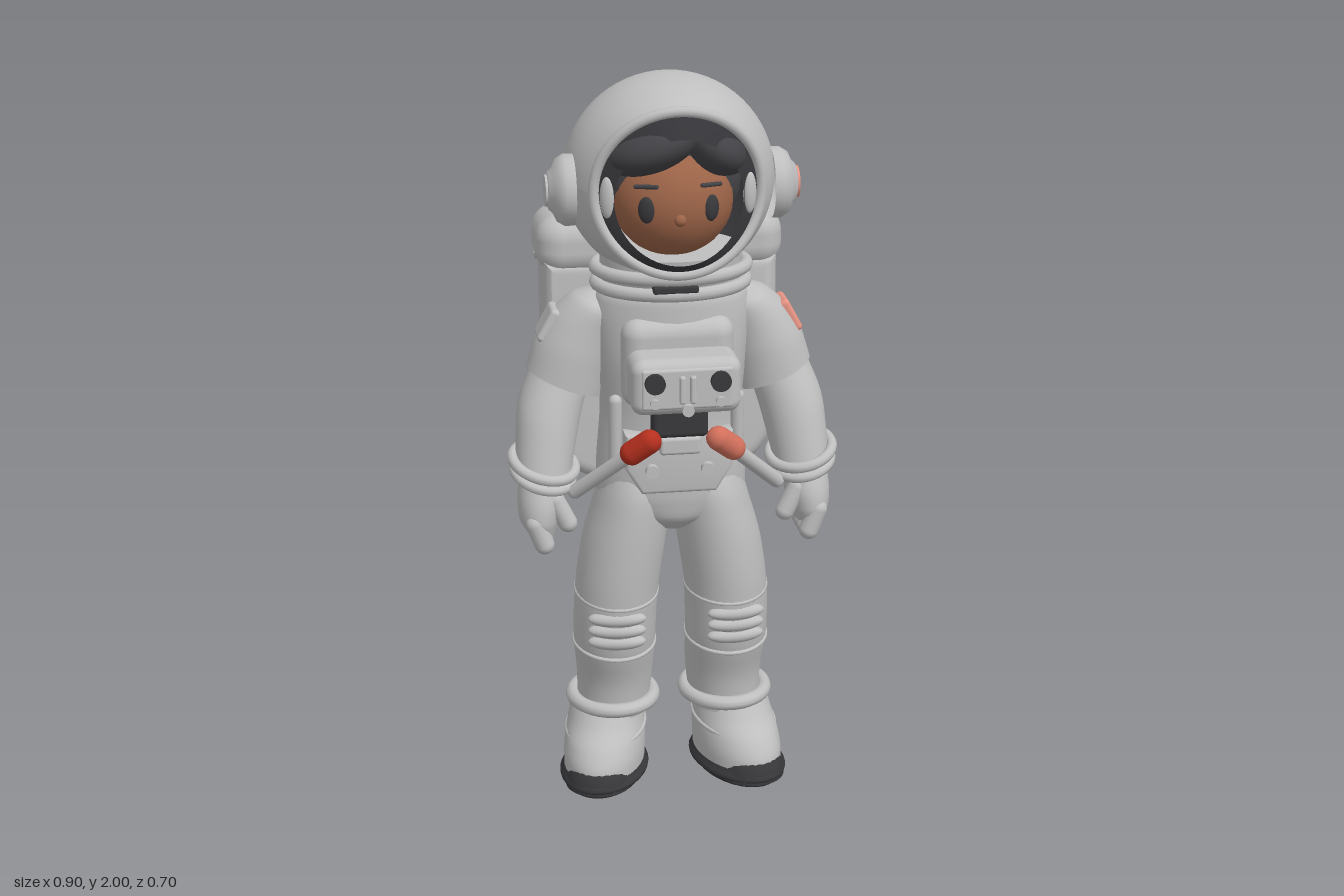
import * as THREE from 'three';
import { toCreasedNormals } from 'three/addons/utils/BufferGeometryUtils.js';
import { RoundedBoxGeometry } from 'three/addons/geometries/RoundedBoxGeometry.js';

const paint = (name, color, side = THREE.FrontSide) => {
  const m = new THREE.MeshStandardMaterial({ color, side });
  m.name = name;
  return m;
};
const V = (x, y, z) => new THREE.Vector3(x, y, z);

export function createModel() {
  const suit = paint('suit grey', 0xbfbfbf, THREE.DoubleSide);
  const dark = paint('rubber dark', 0x39393c);
  const hair = paint('hair dark', 0x434347);
  const lining = paint('visor dark', 0x38383c, THREE.DoubleSide);
  const skin = paint('skin brown', 0x9c6448);
  const red = paint('grip red', 0xb5301e);
  const coral = paint('grip coral', 0xd2705c);
  const salmon = paint('marking salmon', 0xe69484);
  const model = new THREE.Group();
  model.name = 'astronaut';

  const add = (name, geo, mat, p = [0, 0, 0], r = [0, 0, 0], parent = model) => {
    const m = new THREE.Mesh(geo, mat);
    m.name = name;
    m.position.set(...p);
    m.rotation.set(...r);
    parent.add(m);
    return m;
  };
  const ball = (name, mat, p, s, r, parent) =>
    add(name, new THREE.SphereGeometry(1, 28, 20).scale(...s), mat, p, r, parent);
  const box = (name, mat, p, s, radius, r, parent) =>
    add(name, new RoundedBoxGeometry(...s, 4, radius), mat, p, r, parent);
  // horizontal elliptical band
  const band = (name, mat, p, rx, rz, tube, r, parent) =>
    add(name, new THREE.TorusGeometry(1, tube / rx, 10, 40).rotateX(Math.PI / 2).scale(rx, rx, rz), mat, p, r, parent);
  // round-ended rod between two points
  const rod = (name, mat, a, b, radius, parent) => {
    const d = b.clone().sub(a);
    const m = add(name, new THREE.CapsuleGeometry(radius, d.length(), 6, 14), mat, a.clone().add(b).multiplyScalar(0.5).toArray(), undefined, parent);
    m.quaternion.setFromUnitVectors(V(0, 1, 0), d.normalize());
    return m;
  };
  // smooth body through rings [x, y, z, rx, rz], listed upwards; tilt slopes the rings along x
  const loft = (name, mat, rings, tilt = 0, parent = model) => {
    const centre = new THREE.CatmullRomCurve3(rings.map(r => V(r[0], r[1], r[2])));
    const radii = new THREE.CatmullRomCurve3(rings.map(r => V(r[3], r[4], 0)));
    const seg = 32, steps = (rings.length - 1) * 5, rows = [], pos = [], idx = [];
    for (let i = 0; i <= steps; i++) {
      rows.push([centre.getPoint(i / steps), radii.getPoint(i / steps)]);
    }
    const first = rows[0], last = rows[steps], none = V(0, 0, 0);
    const all = [[first[0], none], first, ...rows, last, [last[0], none]];
    for (const [c, r] of all) {
      for (let j = 0; j < seg; j++) {
        const a = j / seg * Math.PI * 2, dx = r.x * Math.cos(a);
        pos.push(c.x + dx, c.y + tilt * dx, c.z + r.y * Math.sin(a));
      }
    }
    for (let i = 0; i < all.length - 1; i++) {
      if (i === 1 || i === all.length - 3) continue;
      for (let j = 0; j < seg; j++) {
        const a = i * seg + j, b = i * seg + (j + 1) % seg;
        idx.push(a, a + seg, b, b, a + seg, b + seg);
      }
    }
    const g = new THREE.BufferGeometry();
    g.setAttribute('position', new THREE.Float32BufferAttribute(pos, 3));
    g.setIndex(idx);
    g.computeVertexNormals();
    return add(name, g, mat, undefined, undefined, parent);
  };

  // Helmet: open sphere whose face edge swings forward at top and bottom
  const open = 0.9, R = [0.28, 0.275, 0.262], lean = 0.048;
  const edge = Math.cos(open), wide = Math.sin(open);
  const shell = new THREE.SphereGeometry(1, 64, 40, 0, Math.PI * 2, open, Math.PI - open).rotateX(Math.PI / 2);
  const sp = shell.attributes.position;
  for (let i = 0; i < sp.count; i++) {
    const x = sp.getX(i), y = sp.getY(i), z = sp.getZ(i);
    const push = lean * (y * y / (x * x + y * y + 1e-6)) * Math.max(0, z) / edge;
    sp.setXYZ(i, x * R[0], y * R[1], z * R[2] + push);
  }
  shell.computeVertexNormals();
  const head = [0, 1.725, 0];
  add('helmetShell', shell, suit, head);
  add('helmetLining', shell.clone().scale(0.96, 0.96, 0.96), lining, head);
  const rimPoint = a => V(R[0] * wide * Math.cos(a), R[1] * wide * Math.sin(a), R[2] * edge + lean * Math.sin(a) ** 2);
  const rim = Array.from({ length: 32 }, (_, i) => rimPoint(i / 32 * Math.PI * 2));
  add('helmetRim', new THREE.TubeGeometry(new THREE.CatmullRomCurve3(rim, true), 80, 0.014, 10, true), suit, head);

  // Dark bulging visor surround, open in front of the face
  const visor = new THREE.RingGeometry(0.77, 1, 64, 6);
  const vp = visor.attributes.position;
  for (let i = 0; i < vp.count; i++) {
    const u = Math.hypot(vp.getX(i), vp.getY(i));
    const p = rimPoint(Math.atan2(vp.getY(i), vp.getX(i)));
    vp.setXYZ(i, p.x * u, p.y * u - 0.08 * (1 - u), p.z - 0.004 + 0.07 * (1 - u * u));
  }
  visor.computeVertexNormals();
  add('visorSurround', visor, lining, head);

  // Head inside the helmet
  ball('face', skin, [0, 1.68, 0.07], [0.16, 0.15, 0.14]);
  ball('nose', skin, [0, 1.655, 0.207], [0.016, 0.016, 0.014]);
  ball('hairBack', hair, [0, 1.72, 0.02], [0.19, 0.17, 0.14]);
  ball('fringeRight', hair, [-0.065, 1.84, 0.105], [0.14, 0.075, 0.14], [0, 0, 0.32]);
  ball('fringeLeft', hair, [0.11, 1.825, 0.1], [0.09, 0.07, 0.13], [0, 0, -0.6]);

  // Helmet side pods, face details and limbs, mirrored
  for (const s of [1, -1]) {
    const side = new THREE.Group();
    side.name = s > 0 ? 'leftSide' : 'rightSide';
    model.add(side);
    const mark = s > 0 ? salmon : suit;

    ball('eye', dark, [s * 0.085, 1.68, 0.184], [0.023, 0.035, 0.012], [0, s * 0.55, 0], side);
    rod('eyebrow', hair, V(s * 0.06, 1.742, 0.192), V(s * 0.11, 1.738, 0.164), 0.006, side);
    ball('headsetPad', suit, [s * 0.186, 1.715, 0.176], [0.02, 0.055, 0.014], [0, s * 0.6, 0], side);

    const podProfile = [[0, 0.07], [0.04, 0.07], [0.05, 0.066], [0.06, 0.055], [0.082, 0.045], [0.094, 0.025], [0.094, 0]];
    const pod = new THREE.LatheGeometry(podProfile.map(p => new THREE.Vector2(...p)).reverse(), 36);
    add('helmetPod', pod, suit, [s * 0.26, 1.71, 0.06], [0, 0, -s * Math.PI / 2], side);
    add('podDisc', new THREE.CylinderGeometry(0.042, 0.042, 0.008, 28), mark, [s * 0.331, 1.71, 0.06], [0, 0, -s * Math.PI / 2], side);

    // Arm
    loft('sleeve', suit, [[s * 0.285, 1.172, 0.005, 0.102, 0.105], [s * 0.264, 1.25, 0, 0.099, 0.11], [s * 0.232, 1.33, 0, 0.085, 0.105],
      [s * 0.2, 1.388, 0.01, 0.062, 0.088], [s * 0.18, 1.418, 0.01, 0.03, 0.04]], s * 0.4, side);
    box('armPatch', mark, [s * 0.327, 1.333, 0.002], [0.03, 0.098, 0.096], 0.012, [0, 0, s * 0.5], side);
    loft('forearm', suit, [[s * 0.355, 0.93, 0.09, 0.073, 0.075], [s * 0.347, 1.0, 0.065, 0.078, 0.085],
      [s * 0.33, 1.1, 0.03, 0.084, 0.095], [s * 0.295, 1.2, 0, 0.08, 0.09]], s * 0.25, side);
    band('gloveCuff', suit, [s * 0.352, 0.965, 0.082], 0.086, 0.088, 0.015, [0.25, 0, s * 0.22], side);
    band('gloveCuffLower', suit, [s * 0.355, 0.935, 0.09], 0.079, 0.082, 0.014, [0.25, 0, s * 0.22], side);
    loft('palm', suit, [[s * 0.366, 0.785, 0.113, 0.04, 0.064], [s * 0.37, 0.82, 0.113, 0.054, 0.077],
      [s * 0.365, 0.87, 0.106, 0.062, 0.079], [s * 0.357, 0.94, 0.09, 0.062, 0.068]], 0, side);
    for (let i = 0; i < 4; i++) {
      const z = 0.056 + i * 0.037;
      rod('finger', suit, V(s * 0.385, 0.82, z), V(s * 0.362, 0.76, z), 0.027, side);
    }
    rod('thumb', suit, V(s * 0.33, 0.88, 0.15), V(s * 0.297, 0.815, 0.155), 0.026, side);

    // Leg
    loft('leg', suit, [[s * 0.16, 0.19, 0, 0.1, 0.11], [s * 0.155, 0.3, 0.002, 0.106, 0.122], [s * 0.158, 0.42, 0.03, 0.114, 0.132],
      [s * 0.152, 0.58, 0.045, 0.115, 0.135], [s * 0.132, 0.72, 0.045, 0.115, 0.14], [s * 0.106, 0.86, 0.042, 0.102, 0.138],
      [s * 0.095, 0.97, 0.04, 0.08, 0.1]], 0, side);
    band('kneeSeamLower', suit, [s * 0.158, 0.41, 0.028], 0.112, 0.13, 0.006, [0.1, 0, 0], side);
    band('kneeSeamUpper', suit, [s * 0.153, 0.57, 0.044], 0.112, 0.132, 0.006, [0.12, 0, 0], side);
    for (let i = 0; i < 3; i++) {
      ball('kneeRib', suit, [s * 0.165, 0.45 + i * 0.036, 0.145 + i * 0.004], [0.08, 0.024, 0.03], [0, s * 0.1, 0], side);
    }
    band('ankleCuff', suit, [s * 0.16, 0.228, 0.003], 0.113, 0.123, 0.02, [0, 0, 0], side);

    // Boot, toes turned out
    const boot = new THREE.Group();
    boot.name = 'boot';
    boot.position.x = s * 0.177;
    boot.rotation.y = s * 0.3;
    side.add(boot);
    loft('bootSole', dark, [[0, 0, 0.047, 0.104, 0.166], [0, 0.015, 0.047, 0.113, 0.174], [0, 0.048, 0.047, 0.113, 0.174]], 0, boot);
    loft('bootUpper', suit, [[0, 0.04, 0.045, 0.111, 0.171], [0, 0.08, 0.042, 0.113, 0.168], [0, 0.125, 0.03, 0.112, 0.155],
      [0, 0.17, 0.012, 0.107, 0.132], [0, 0.22, 0, 0.1, 0.112]], 0, boot);
    add('toeCap', new THREE.SphereGeometry(1, 28, 12, 0, Math.PI * 2, 0, Math.PI / 2).scale(0.092, 0.1, 0.088), dark, [0, 0.012, 0.14], undefined, boot);
    band('bootSeam', suit, [0, 0.145, 0.022], 0.108, 0.142, 0.007, [0.12, 0, 0], boot);

    // Control grip, hose and harness
    rod('grip', s > 0 ? coral : red, V(s * 0.092, 1.078, 0.272), V(s * 0.135, 1.043, 0.255), 0.033, side);
    rod('hose', suit, V(s * 0.13, 1.045, 0.255), V(s * 0.275, 0.9, 0.145), 0.02, side);
    rod('harnessStrap', suit, V(s * 0.165, 1.15, 0.145), V(s * 0.165, 0.98, 0.135), 0.018, side);
    add('beltButton', new THREE.CylinderGeometry(0.018, 0.018, 0.02, 20), suit, [s * 0.075, 0.97, 0.21], [Math.PI / 2, 0, 0], side);
    add('panelKnob', new THREE.CylinderGeometry(0.027, 0.027, 0.018, 20), dark, [s * 0.086, 1.26, 0.34], [Math.PI / 2, 0, 0], side);
    box('panelSwitch', suit, [s * 0.014, 1.24, 0.338], [0.016, 0.075, 0.02], 0.006, [0, 0, 0], side);
    add('panelButton', new THREE.CylinderGeometry(0.013, 0.013, 0.018, 16), suit, [s * 0.086, 1.205, 0.338], [Math.PI / 2, 0, 0], side);

    // Fitting on the end of the pack roll
    add('packPort', new THREE.TorusGeometry(0.03, 0.009, 10, 28), suit, [s * 0.331, 1.485, -0.225], [0, Math.PI / 2, 0], side);
    add('packPortCore', new THREE.CylinderGeometry(0.016, 0.016, 0.02, 20), suit, [s * 0.329, 1.485, -0.225], [0, 0, Math.PI / 2], side);
  }

  // Torso and collar
  loft('torso', suit, [[0, 0.765, 0.04, 0.06, 0.08], [0, 0.81, 0.042, 0.15, 0.13], [0, 0.87, 0.041, 0.206, 0.144], [0, 0.95, 0.04, 0.205, 0.148],
    [0, 1.1, 0.04, 0.194, 0.15], [0, 1.25, 0.04, 0.205, 0.16], [0, 1.36, 0.035, 0.215, 0.155], [0, 1.42, 0.035, 0.205, 0.152], [0, 1.46, 0.035, 0.17, 0.14]]);
  loft('neck', suit, [[0, 1.42, 0.035, 0.19, 0.15], [0, 1.47, 0.035, 0.19, 0.15], [0, 1.54, 0.035, 0.19, 0.16]]);
  band('collarLower', suit, [0, 1.45, 0.04], 0.2, 0.152, 0.018);
  band('collarUpper', suit, [0, 1.493, 0.04], 0.202, 0.155, 0.018);
  box('collarClasp', dark, [-0.01, 1.467, 0.19], [0.12, 0.02, 0.03], 0.006);
  box('chestPanel', suit, [0, 1.26, 0.15], [0.3, 0.25, 0.11], 0.05);

  // Chest control unit and belt
  box('controlBox', suit, [0, 1.24, 0.262], [0.29, 0.152, 0.14], 0.035);
  box('controlFace', suit, [0, 1.24, 0.325], [0.24, 0.11, 0.02], 0.008);
  add('controlValve', new THREE.CylinderGeometry(0.016, 0.016, 0.05, 16), suit, [0, 1.185, 0.325], [Math.PI / 2, 0, 0]);
  box('beltPouch', dark, [0, 1.105, 0.19], [0.15, 0.085, 0.06], 0.015);
  const plate = new THREE.Shape([[-0.135, 1.06], [-0.135, 0.975], [-0.095, 0.91], [0.095, 0.91], [0.135, 0.975], [0.135, 1.06]].map(p => new THREE.Vector2(...p)));
  add('beltPlate', toCreasedNormals(new THREE.ExtrudeGeometry(plate, { depth: 0.045, bevelSize: 0.01, bevelThickness: 0.01, bevelSegments: 3 }), 0.6), suit, [0, 0, 0.145]);
  box('beltBuckle', suit, [0, 1.04, 0.205], [0.11, 0.05, 0.03], 0.01);

  // Backpack with rounded lower corners and a roll on top
  const w = 0.282, low = 0.86, c = 0.16;
  const pack = new THREE.Shape();
  pack.moveTo(-w, 1.42);
  pack.lineTo(-w, low + c);
  pack.quadraticCurveTo(-w, low, -w + c, low);
  pack.lineTo(w - c, low);
  pack.quadraticCurveTo(w, low, w, low + c);
  pack.lineTo(w, 1.42);
  add('backpack', toCreasedNormals(new THREE.ExtrudeGeometry(pack, { depth: 0.13, bevelSize: 0.04, bevelThickness: 0.04, bevelSegments: 6, curveSegments: 16 }), 0.6), suit, [0, 0, -0.285]);
  box('packRoll', suit, [0, 1.5, -0.23], [0.68, 0.17, 0.24], 0.07);
  return model;
}
